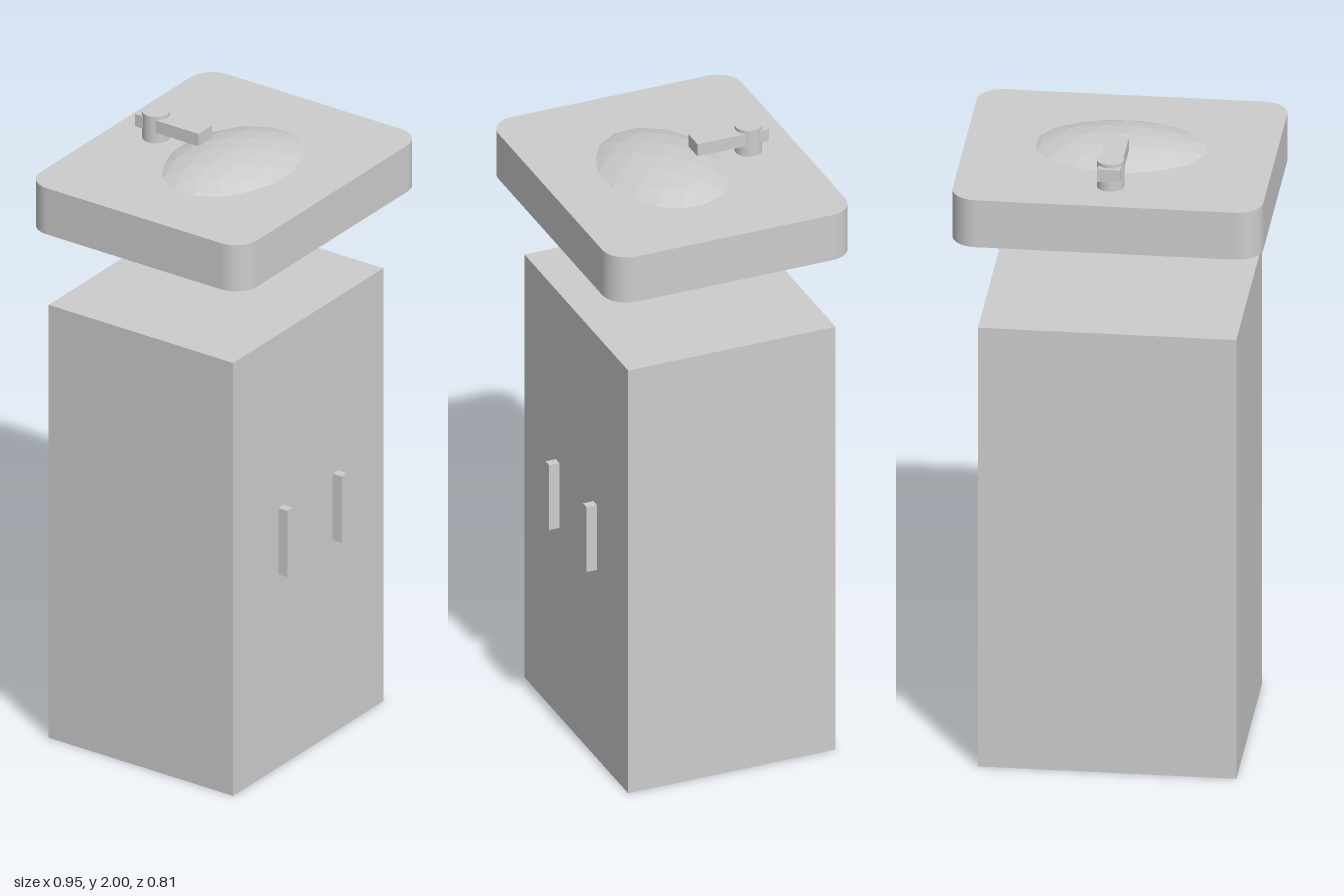
import * as THREE from 'three';

export function createModel() {
  const root = new THREE.Group();
  root.name = 'vanityWithSink';
  const grey = new THREE.MeshStandardMaterial({ color: 0xcccccc });
  grey.name = 'light grey';
  const faceted = new THREE.MeshStandardMaterial({ color: 0xcccccc, flatShading: true });
  faceted.name = 'light grey faceted';

  function add(name, geometry, x, y, z, material = grey) {
    const mesh = new THREE.Mesh(geometry, material);
    mesh.name = name;
    mesh.position.set(x, y, z);
    root.add(mesh);
    return mesh;
  }

  // Cabinet body with two upright handles on its front
  add('cabinet', new THREE.BoxGeometry(0.79, 1.47, 0.687), -0.003, 0.735, -0.028);
  for (const side of [-1, 1]) {
    const name = side < 0 ? 'rightHandle' : 'leftHandle';
    add(name, new THREE.BoxGeometry(0.028, 0.225, 0.035), -0.003 + side * 0.143, 0.768, 0.332);
  }

  // Countertop: rounded rectangle, extruded upwards
  const w = 0.475, d = 0.403, r = 0.08;
  const outline = new THREE.Shape();
  outline.absarc(w - r, d - r, r, 0, Math.PI / 2);
  outline.absarc(-w + r, d - r, r, Math.PI / 2, Math.PI);
  outline.absarc(-w + r, -d + r, r, Math.PI, Math.PI * 1.5);
  outline.absarc(w - r, -d + r, r, Math.PI * 1.5, Math.PI * 2);
  const slab = new THREE.ExtrudeGeometry(outline, { depth: 0.157, bevelEnabled: false, curveSegments: 8 });
  slab.rotateX(-Math.PI / 2);
  add('countertop', slab, 0, 1.754, 0);

  // Basin: faceted flattened ball passing through the countertop
  const basin = new THREE.IcosahedronGeometry(1, 3);
  basin.scale(0.357, 0.133, 0.258);
  add('basin', basin, 0, 1.822, 0.033, faceted);

  // Tap: round post with a flat spout reaching over the basin
  add('tapPost', new THREE.CylinderGeometry(0.042, 0.042, 0.1, 32), 0, 1.95, -0.253);
  add('tapSpout', new THREE.BoxGeometry(0.07, 0.042, 0.237), 0, 1.968, -0.188);

  return root;
}
